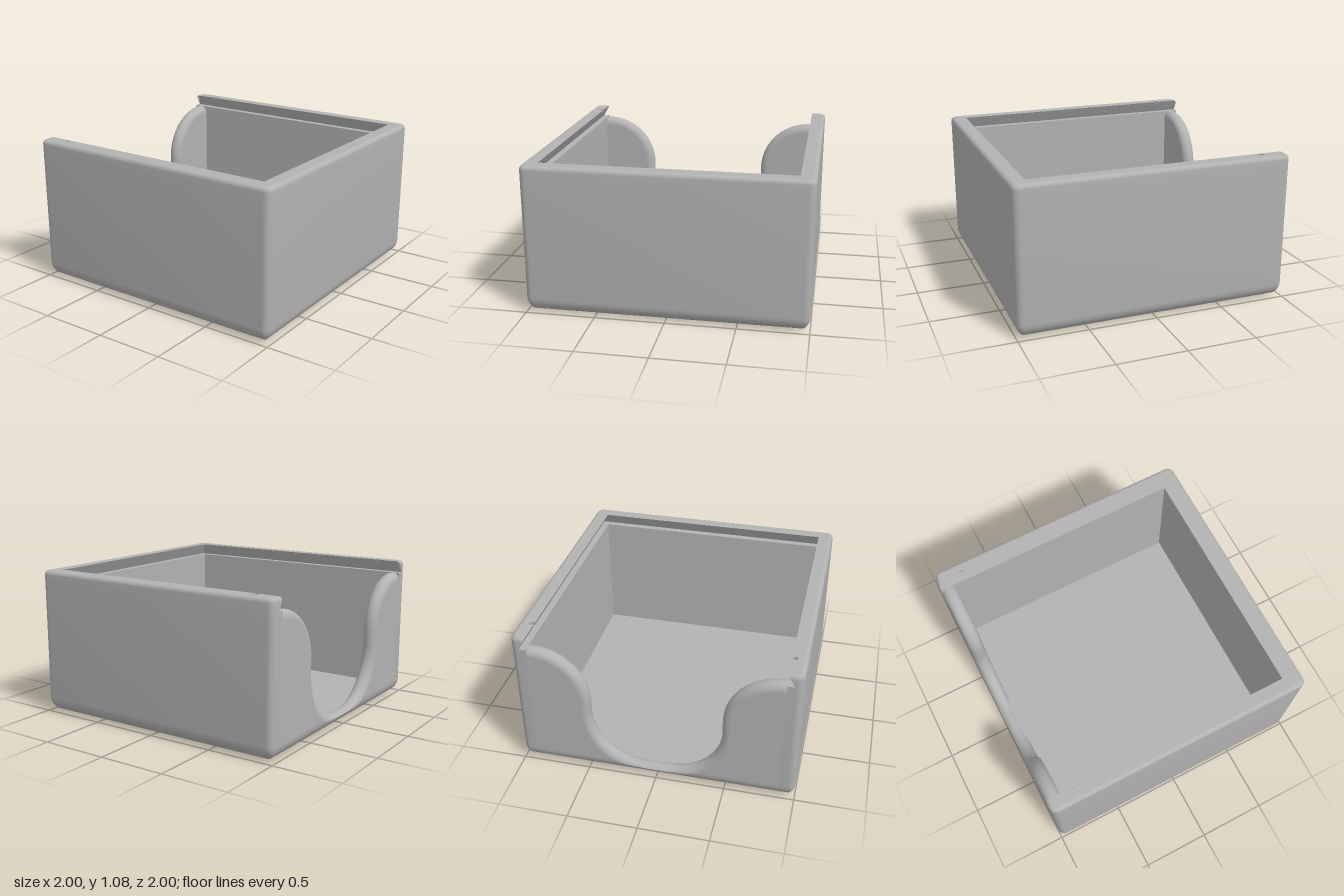
import * as THREE from 'three';
import { toCreasedNormals } from 'three/addons/utils/BufferGeometryUtils.js';

const H = 1.08;        // overall height
const IN = 0.89;       // half width of the cavity
const SLOT = 0.94;     // half width of the lid slot at its floor
const LEDGE = 0.99;    // height of the slot floor
const FLOOR = 0.075;   // height of the cavity floor
const FILLET = 0.11;   // bottom edge radius
const TOP = 0.03;      // top edge radius
const CORNER = 0.05;   // vertical edge radius
const NOSE = 0.055;    // radius of the rounded notch edge

// Surface through rows of points that all have the same length
function loft(rows, crease = 0.5) {
  const n = rows[0].length, index = [];
  for (let i = 0; i < rows.length - 1; i++) {
    for (let j = 0; j < n - 1; j++) {
      const a = i * n + j, b = a + n;
      index.push(a, a + 1, b, a + 1, b + 1, b);
    }
  }
  const g = new THREE.BufferGeometry();
  g.setAttribute('position', new THREE.Float32BufferAttribute(rows.flat(2), 3));
  g.setIndex(index);
  return toCreasedNormals(g, crease);
}

// How far the outer surface steps inward at height y
function inset(y) {
  if (y < FILLET) return FILLET - Math.sqrt(Math.max(0, FILLET ** 2 - (FILLET - y) ** 2));
  const t = y - (H - TOP);
  return t > 0 ? TOP - Math.sqrt(Math.max(0, TOP ** 2 - t * t)) : 0;
}

// Rounded square outline at height y, open at the back between -endX and endX
function ring(y, endX) {
  const h = 1 - inset(y), r = Math.max(CORNER - inset(y), 0.001);
  const pts = [[-endX, y, -h]];
  for (let k = 0; k < 4; k++) {
    const start = -Math.PI / 2 * (k + 1), mid = start - Math.PI / 4;
    const cx = Math.sign(Math.cos(mid)) * (h - r), cz = Math.sign(Math.sin(mid)) * (h - r);
    for (let i = 0; i <= 8; i++) {
      const a = start - Math.PI / 2 * i / 8;
      pts.push([cx + r * Math.cos(a), y, cz + r * Math.sin(a)]);
    }
  }
  pts.push([endX, y, -h]);
  return pts;
}

// Half of the S-shaped notch: x, y and the direction into the wall
function notchPath() {
  const R = 0.4, N = 28, path = [[0, 0.09, 0, -1]];
  for (let i = 0; i <= N; i++) {
    const a = -Math.PI / 2 * (1 - i / N), c = Math.cos(a), s = Math.sin(a);
    path.push([0.07 + R * c, 0.49 + R * s, c, s]);
  }
  for (let i = 0; i <= N; i++) {
    const a = Math.PI - Math.PI / 2 * i / N, c = Math.cos(a), s = Math.sin(a);
    path.push([0.87 + R * c, 0.59 + R * s, -c, -s]);
  }
  path.push([IN, LEDGE, 0, -1]);
  return path;
}

export function createModel() {
  const group = new THREE.Group();
  const grey = new THREE.MeshStandardMaterial({ color: 0xb2b2b2, side: THREE.DoubleSide });
  grey.name = 'grey plastic';
  const add = (name, geometry, mirror = false) => {
    for (const s of mirror ? [1, -1] : [1]) {
      const m = new THREE.Mesh(geometry, grey);
      m.name = mirror ? name + (s > 0 ? 'Left' : 'Right') : name;
      m.scale.x = s;
      group.add(m);
    }
  };

  // Outer walls, with the back ends cut to the undercut lid slot
  const slotX = y => SLOT - (SLOT - IN) * (y - LEDGE) / (H - LEDGE);
  const rings = [];
  const arc = i => Math.PI / 2 * i / 8;
  for (let i = 0; i <= 8; i++) rings.push(ring(FILLET * (1 - Math.cos(arc(i))), IN));
  rings.push(ring(LEDGE, IN), ring(LEDGE, SLOT));
  for (let i = 0; i <= 8; i++) {
    const y = H - TOP + TOP * Math.sin(arc(i));
    rings.push(ring(y, slotX(y)));
  }
  add('outerWalls', loft(rings));

  // Flat rim with two small detent holes
  const rim = new THREE.Shape(ring(H, IN).map(p => new THREE.Vector2(p[0], -p[2])));
  rim.lineTo(IN, -IN);
  rim.lineTo(-IN, -IN);
  rim.closePath();
  const holeX = 0.912, holeZ = -0.81, holeR = 0.018, holeDepth = 0.02;
  for (const s of [1, -1]) {
    rim.holes.push(new THREE.Path().absarc(s * holeX, -holeZ, holeR, 0, Math.PI * 2, true));
  }
  add('rim', new THREE.ShapeGeometry(rim, 16).rotateX(-Math.PI / 2).translate(0, H, 0));
  add('detentWall', new THREE.CylinderGeometry(holeR, holeR, holeDepth, 20, 1, true)
    .translate(holeX, H - holeDepth / 2, holeZ), true);
  add('detentFloor', new THREE.CircleGeometry(holeR, 20).rotateX(-Math.PI / 2)
    .translate(holeX, H - holeDepth, holeZ), true);

  // Lid slot, ledge and cavity walls on three sides
  const uRow = (o, y, back) => [[-o, y, back], [-o, y, o], [o, y, o], [o, y, back]];
  add('lidSlotAndCavity', loft([
    uRow(IN, H, TOP - 1), uRow(SLOT, LEDGE, -1), uRow(IN, LEDGE, -1), uRow(IN, FLOOR, -1),
  ], 0.2));

  // Cavity floor and underside
  const midZ = -1 + NOSE;
  add('cavityFloor', new THREE.PlaneGeometry(IN * 2, IN - midZ).rotateX(-Math.PI / 2)
    .translate(0, FLOOR, (IN + midZ) / 2));
  add('underside', new THREE.PlaneGeometry(IN * 2, IN * 2).rotateX(Math.PI / 2));

  // Fully rounded edge of the thumb notch
  const path = notchPath();
  add('notchEdge', loft(path.map(([x, y, nx, ny]) => {
    const row = [];
    for (let i = 0; i <= 16; i++) {
      const a = Math.PI * (i / 16 - 0.5), d = NOSE * (1 - Math.cos(a));
      const py = y + ny * d;
      row.push([x + nx * d, py, Math.max(midZ + NOSE * Math.sin(a), inset(py) - 1)]);
    }
    return row;
  }), 0.8), true);

  // Outer and inner faces of the back wall beside and below the notch
  const edge = path.map(([x, y, nx, ny]) => [x + nx * NOSE, y + ny * NOSE]);
  const below = [];
  for (let i = 0; i < 6; i++) below.push([0, edge[0][1] * (i / 6) ** 2]);
  add('backOuterFace', loft([...below, ...edge].map(([x, y]) =>
    [[x, y, inset(y) - 1], [IN, y, inset(y) - 1]])), true);
  add('backInnerFace', loft(edge.map(([x, y]) => [[x, y, -IN], [IN, y, -IN]])), true);

  return group;
}
